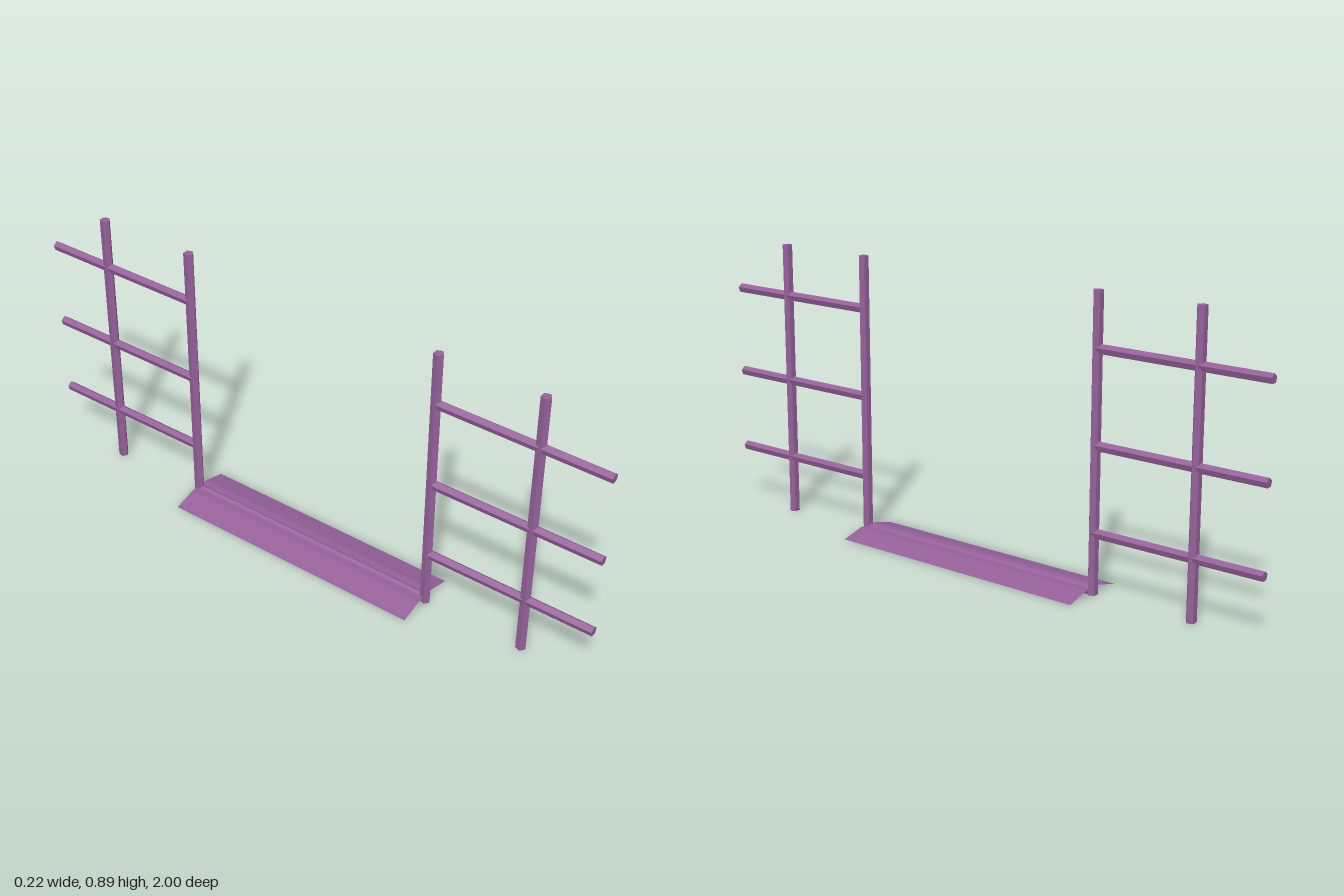
import * as THREE from 'three';

const R = 0.016;

export function createModel() {
  const group = new THREE.Group();
  const purple = new THREE.MeshStandardMaterial({ color: 0x95609a, flatShading: true, side: THREE.DoubleSide });
  purple.name = 'purple';

  const add = (name, geometry, x = 0, y = 0, z = 0) => {
    const mesh = new THREE.Mesh(geometry, purple);
    mesh.name = name;
    mesh.position.set(x, y, z);
    group.add(mesh);
  };

  // Five-sided bars: posts have an edge towards +z, rails an edge towards +y
  const post = (name, z) => add(name, new THREE.CylinderGeometry(R, R, 0.895, 5), 0, 0.4475, z);
  const rail = (name, y, z0, z1) => add(name,
    new THREE.CylinderGeometry(0.015, 0.015, z1 - z0, 5).rotateX(-Math.PI / 2), 0, y, (z0 + z1) / 2);

  // Two fence panels, front and back
  post('frontInnerPost', 0.444);
  post('frontOuterPost', 0.779);
  post('backInnerPost', -0.442);
  post('backOuterPost', -0.777);
  for (const y of [0.187, 0.447, 0.728]) {
    rail('frontRail', y, 0.44, 1);
    rail('backRail', y, -1, -0.44);
  }

  // Ground bar joining the inner posts
  rail('groundBar', 0.0122, -0.442, 0.444);

  // Thin folded sheet over the ground bar, low at both sides
  const profile = [[-0.11, 0], [-0.035, 0.02], [0.035, 0.02], [0.11, 0]];
  const sheet = new THREE.PlaneGeometry(1, 0.888, profile.length - 1, 1).rotateX(-Math.PI / 2);
  const pos = sheet.attributes.position;
  for (let i = 0; i < pos.count; i++) {
    const [x, y] = profile[i % profile.length];
    pos.setX(i, x);
    pos.setY(i, y);
  }
  sheet.computeVertexNormals();
  add('groundSheet', sheet, 0, 0, 0);

  return group;
}
